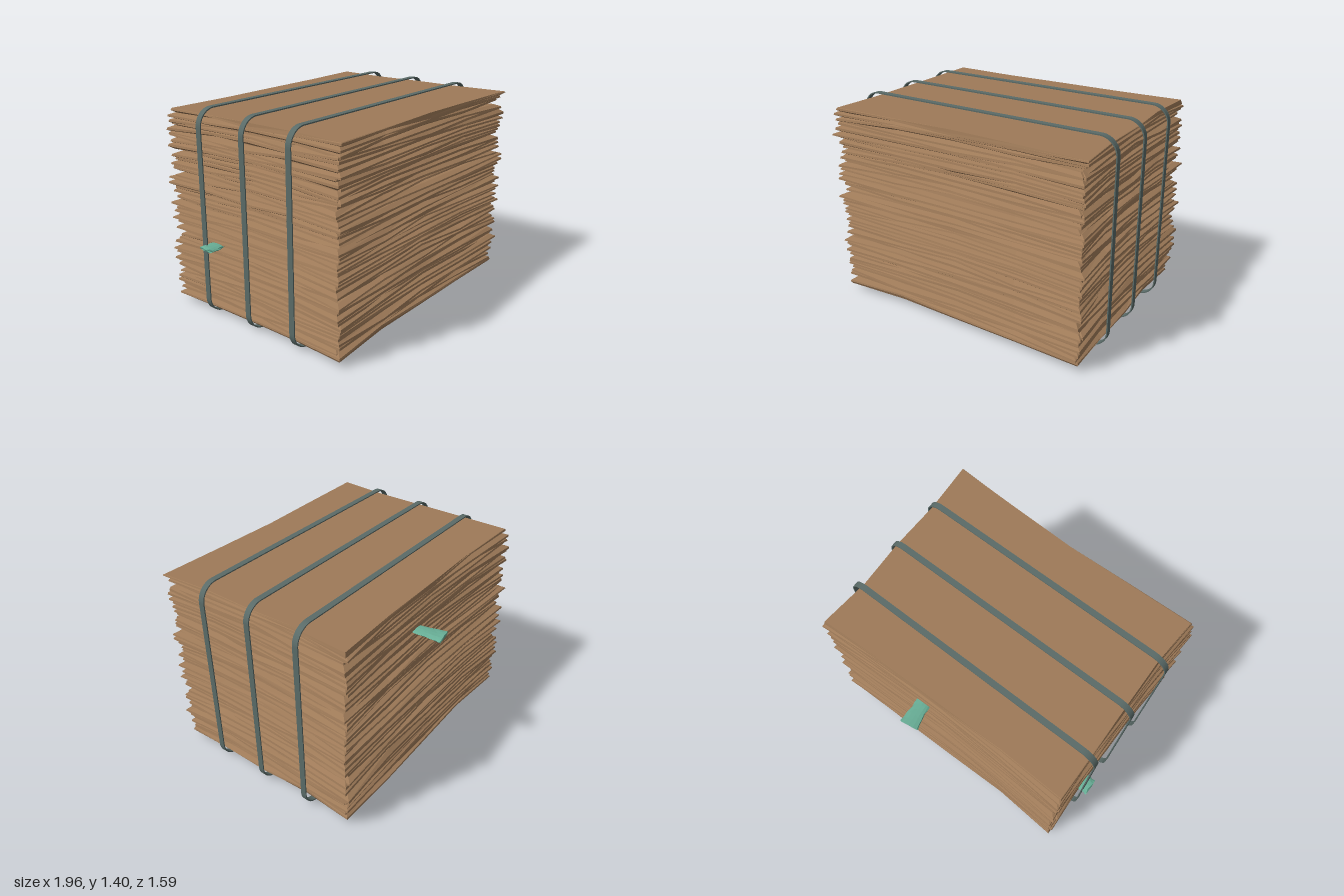
import * as THREE from 'three';

const BOTTOM = 0.045, TOP = 1.36, MID_Z = 0.05;

// Small seeded random generator, returns 0..1
function seeded(seed) {
  let s = seed;
  return () => {
    s = (s * 1664525 + 1013904223) % 4294967296;
    return s / 4294967296;
  };
}

// Square perimeter, four segments per side, seen from above
function perimeter() {
  const pts = [];
  const corners = [[-1, 1], [1, 1], [1, -1], [-1, -1]];
  corners.forEach(([u, v], i) => {
    const [a, b] = corners[(i + 1) % 4];
    for (let k = 0; k < 4; k++) pts.push([u + (a - u) * k / 4, v + (b - v) * k / 4]);
  });
  return pts;
}

// One crushed cardboard sheet: stacked cross-sections with a ragged rim
function sheetGeometry(y, thick, rnd, flatEnd) {
  const outline = perimeter(), n = outline.length;
  const turn = (rnd() - 0.5) * 0.02, reach = rnd() * 0.03;
  const shiftX = (rnd() - 0.5) * 0.016, shiftZ = (rnd() - 0.5) * 0.016;
  const warp = outline.map(() => (rnd() - 0.5) * 0.03);
  const rim = outline.map(() => reach + rnd() * 0.025);
  const levels = [[-0.5, 0.045], [-0.12, 0], [0.14, 0.004], [0.5, 0.045]];
  const pos = [], index = [];
  levels.forEach(([h, inset], l) => {
    const flat = (flatEnd > 0 && l === 3) || (flatEnd < 0 && l === 0);
    outline.forEach(([u, v], i) => {
      const cut = rim[i] + (flat ? 0.008 : inset * (0.6 + rnd() * 0.6));
      const x = u * (0.928 + 0.027 * v * v - cut) + shiftX;
      const z = v * (0.708 + 0.027 * u * u - cut) + shiftZ;
      const py = flat ? (flatEnd > 0 ? TOP : BOTTOM) : y + h * thick + warp[i];
      pos.push(x + turn * z, THREE.MathUtils.clamp(py, BOTTOM + 0.002, TOP - 0.002), MID_Z + z - turn * x);
      if (flat) pos[pos.length - 2] = py;
    });
  });
  for (let l = 0; l < 3; l++) {
    for (let i = 0; i < n; i++) {
      const j = (i + 1) % n, a = l * n + i, b = l * n + j;
      index.push(a, b, b + n, a, b + n, a + n);
    }
  }
  // Bottom and top caps
  const low = pos.length / 3, high = low + 1;
  pos.push(0, flatEnd < 0 ? BOTTOM : y - thick / 2, MID_Z, 0, flatEnd > 0 ? TOP : y + thick / 2, MID_Z);
  for (let i = 0; i < n; i++) {
    const j = (i + 1) % n;
    index.push(low, j, i, high, 3 * n + i, 3 * n + j);
  }
  const g = new THREE.BufferGeometry();
  g.setAttribute('position', new THREE.Float32BufferAttribute(pos, 3));
  g.setIndex(index);
  const out = g.toNonIndexed();
  out.computeVertexNormals();
  return out;
}

// Rounded rectangle around the bale, used for both strap faces
function roundedRect(path, w, y0, y1, r) {
  path.moveTo(-w + r, y0);
  path.lineTo(w - r, y0);
  path.absarc(w - r, y0 + r, r, -Math.PI / 2, 0);
  path.lineTo(w, y1 - r);
  path.absarc(w - r, y1 - r, r, 0, Math.PI / 2);
  path.lineTo(-w + r, y1);
  path.absarc(-w + r, y1 - r, r, Math.PI / 2, Math.PI);
  path.lineTo(-w, y0 + r);
  path.absarc(-w + r, y0 + r, r, Math.PI, Math.PI * 1.5);
  return path;
}

function strapGeometry(width) {
  const t = 0.008;
  const shape = roundedRect(new THREE.Shape(), 0.96, 0, 1.4, 0.12);
  shape.holes.push(roundedRect(new THREE.Path(), 0.96 - t, t, 1.4 - t, 0.12 - t));
  const g = new THREE.ExtrudeGeometry(shape, { depth: width, bevelEnabled: false, curveSegments: 8 });
  return g.translate(0, 0, -width / 2);
}

// Squashed, dented scrap, long axis along y before placing
function scrapGeometry(endHalf, rootHalf, length, rnd) {
  const g = new THREE.CylinderGeometry(endHalf, rootHalf, length, 12, 5);
  const p = g.attributes.position, dents = {};
  for (let i = 0; i < p.count; i++) {
    const key = [p.getX(i), p.getY(i), p.getZ(i)].map(c => Math.round(c * 1e4)).join();
    dents[key] ??= [0.9 + rnd() * 0.2, (rnd() - 0.5) * 0.012];
    const [k, d] = dents[key];
    p.setXYZ(i, p.getX(i) * k, p.getY(i) + d, p.getZ(i) * 0.26 * k);
  }
  g.computeVertexNormals();
  return g;
}

export function createModel() {
  const model = new THREE.Group();
  const rnd = seeded(71);
  const paint = (name, color, flatShading) => {
    const m = new THREE.MeshStandardMaterial({ color, flatShading });
    m.name = name;
    return m;
  };
  const cardboard = paint('cardboard brown', 0x9e7a58, true);
  const strapGrey = paint('strap grey green', 0x5a6b68, false);
  const teal = paint('scrap teal', 0x68ae96, true);

  const add = (parent, name, geometry, material) => {
    const mesh = new THREE.Mesh(geometry, material);
    mesh.name = name;
    parent.add(mesh);
    return mesh;
  };

  // Pressed stack of sheets
  const bale = new THREE.Group();
  bale.name = 'cardboardBale';
  model.add(bale);
  const count = 46, step = (TOP - BOTTOM) / count;
  for (let i = 0; i < count; i++) {
    const end = i === 0 ? -1 : i === count - 1 ? 1 : 0;
    const g = sheetGeometry(BOTTOM + (i + 0.5) * step, step * (1.3 + rnd() * 0.7), rnd, end);
    add(bale, 'cardboardSheet', g, cardboard);
  }

  // Three binding straps
  const strap = strapGeometry(0.04);
  for (const z of [0.42, 0.045, -0.33]) add(model, 'strap', strap, strapGrey).position.z = z;

  // Scrap sticking out of the back
  const back = add(model, 'backScrap', scrapGeometry(0.062, 0.045, 0.19, rnd), teal);
  back.rotation.set(-Math.PI / 2, 0, 0.14, 'YXZ');
  back.position.set(0.145, 1.09, -0.705);

  // Scrap sticking out of the right side
  const side = add(model, 'sideScrap', scrapGeometry(0.062, 0.05, 0.12, rnd), teal);
  side.rotation.set(0, Math.PI / 2, Math.PI / 2, 'ZYX');
  side.position.set(-0.93, 0.495, -0.28);
  return model;
}
